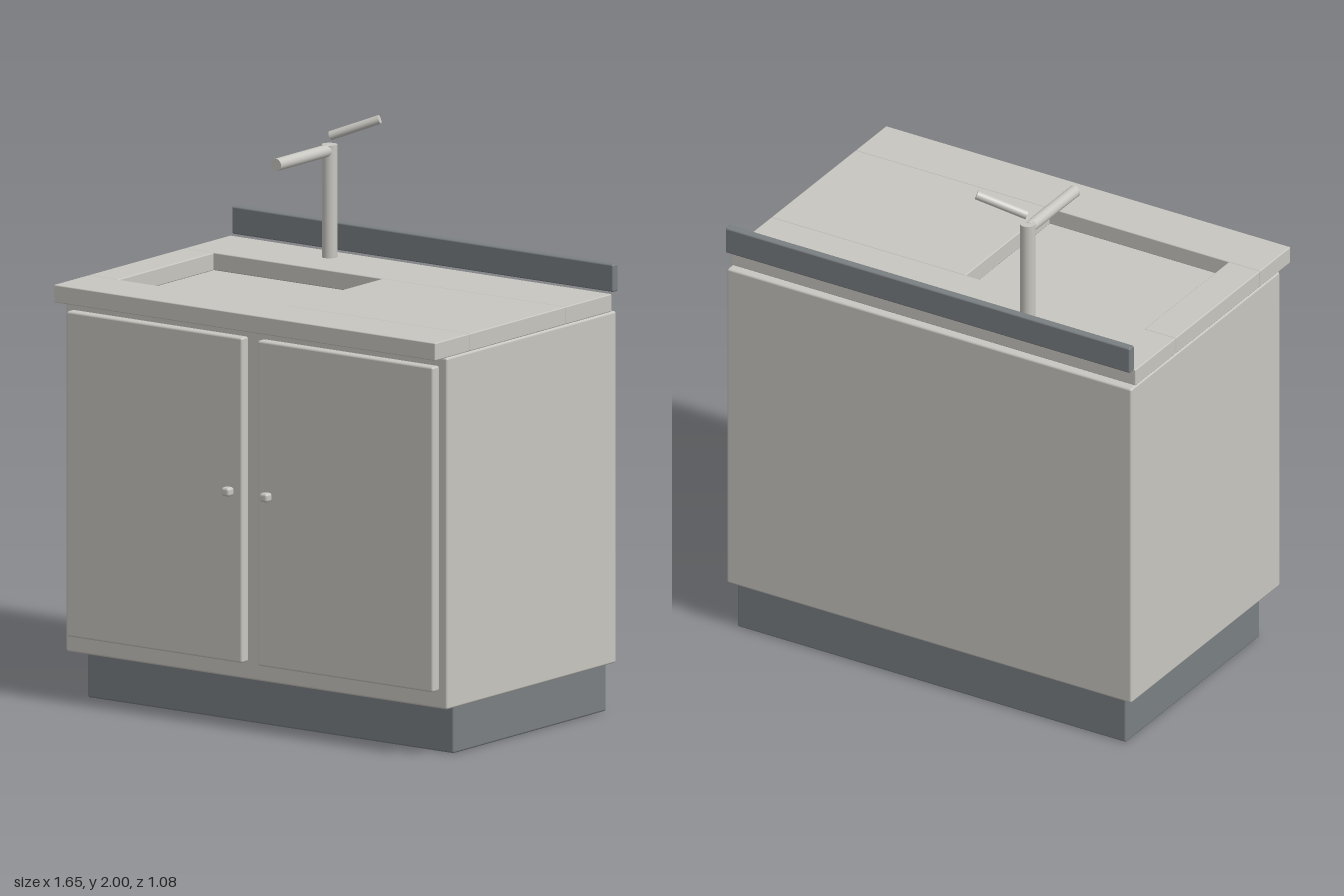
import * as THREE from 'three';
import { RoundedBoxGeometry } from 'three/addons/geometries/RoundedBoxGeometry.js';

export function createModel() {
  const model = new THREE.Group();
  model.name = 'sinkCabinet';

  const stone = new THREE.MeshStandardMaterial({ color: 0xc8c6c0 });
  stone.name = 'warm light grey';
  const slate = new THREE.MeshStandardMaterial({ color: 0x7a7f82 });
  slate.name = 'slate grey';

  // Softly bevelled box given by its extents on each axis
  function box(name, material, [x0, x1], [y0, y1], [z0, z1], bevel = 0.008) {
    const geometry = new RoundedBoxGeometry(x1 - x0, y1 - y0, z1 - z0, 2, bevel);
    const mesh = new THREE.Mesh(geometry, material);
    mesh.position.set((x0 + x1) / 2, (y0 + y1) / 2, (z0 + z1) / 2);
    mesh.name = name;
    model.add(mesh);
  }

  // Round bar between two points
  function bar(name, from, to, radius) {
    const a = new THREE.Vector3(...from);
    const b = new THREE.Vector3(...to);
    const direction = b.clone().sub(a);
    const mesh = new THREE.Mesh(
      new THREE.CylinderGeometry(radius, radius, direction.length(), 20), stone);
    mesh.position.copy(a).add(b).multiplyScalar(0.5);
    mesh.quaternion.setFromUnitVectors(new THREE.Vector3(0, 1, 0), direction.normalize());
    mesh.name = name;
    model.add(mesh);
  }

  // Recessed base and cabinet body
  box('plinth', slate, [-0.793, 0.793], [0, 0.173], [-0.51, 0.382]);
  box('cabinetBody', stone, [-0.825, 0.825], [0.173, 1.423], [-0.526, 0.463]);

  // Pair of doors with small knobs near the centre line
  for (const [side, s] of [['left', 1], ['right', -1]]) {
    const span = (a, b) => (s > 0 ? [a, b] : [-b, -a]);
    box(side + 'Door', stone, span(0.033, 0.793), [0.237, 1.393], [0.463, 0.504]);
    box(side + 'Knob', stone, span(0.065, 0.1), [0.829, 0.861], [0.503, 0.538], 0.01);
  }

  // Worktop slabs framing the shallow basin
  const top = [1.425, 1.488];
  box('worktopFront', stone, [-0.825, 0.825], top, [0.33, 0.533], 0.004);
  box('worktopBack', stone, [-0.825, 0.825], top, [-0.498, -0.23], 0.004);
  box('worktopRight', stone, [-0.825, -0.697], top, [-0.23, 0.33], 0.004);
  box('worktopLeft', stone, [0.032, 0.825], top, [-0.23, 0.33], 0.004);

  // Raised strip behind the worktop
  box('backsplash', slate, [-0.825, 0.825], [1.492, 1.59], [-0.537, -0.505], 0.006);

  // Tap
  bar('tapPost', [-0.333, 1.486, -0.413], [-0.333, 1.888, -0.413], 0.027);
  bar('tapSpout', [-0.333, 1.868, -0.408], [-0.333, 1.868, -0.1], 0.022);
  bar('tapLever', [-0.329, 1.919, -0.411], [-0.167, 1.986, -0.482], 0.016);

  return model;
}
